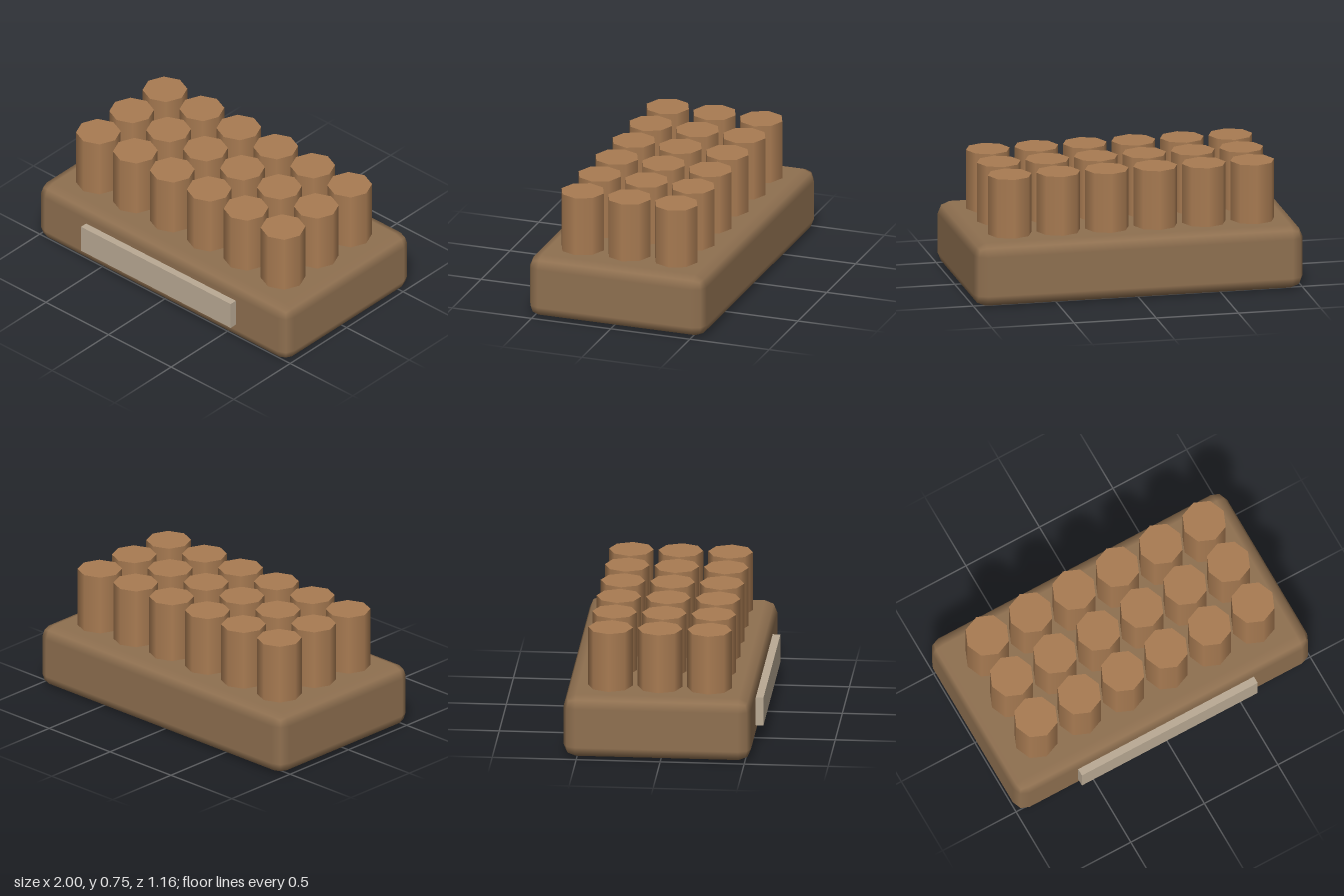
import * as THREE from 'three';
import { RoundedBoxGeometry } from 'three/addons/geometries/RoundedBoxGeometry.js';

function material(name, color) {
  const m = new THREE.MeshStandardMaterial({ color });
  m.name = name;
  return m;
}

export function createModel() {
  const model = new THREE.Group();
  model.name = 'pegBlock';
  const baseBrown = material('base brown', 0x8f7050);
  const pegBrown = material('peg brown', 0xa87b52);
  const plateBeige = material('plate beige', 0xbaaa94);

  const add = (name, geometry, mat, x, y, z, parent = model) => {
    const mesh = new THREE.Mesh(geometry, mat);
    mesh.name = name;
    mesh.position.set(x, y, z);
    parent.add(mesh);
    return mesh;
  };

  // Base block with softly bevelled edges
  const baseZ = -0.023;
  add('base', new RoundedBoxGeometry(2, 0.385, 1.116, 1, 0.073), baseBrown, 0, 0.1925, baseZ);

  // Front label plate, set slightly into the base
  add('frontPlate', new THREE.BoxGeometry(1.195, 0.173, 0.06), plateBeige, 0, 0.197, 0.551);

  // Grid of eight-sided pegs, six across and three deep
  const pegs = new THREE.Group();
  pegs.name = 'pegs';
  model.add(pegs);
  const bottom = 0.37, top = 0.746, spacing = 0.295;
  const pegGeometry = new THREE.CylinderGeometry(0.133, 0.133, top - bottom, 8);
  for (let row = 0; row < 3; row++) {
    for (let col = 0; col < 6; col++) {
      add('peg', pegGeometry, pegBrown,
        (col - 2.5) * spacing, (top + bottom) / 2, baseZ + (row - 1) * spacing, pegs);
    }
  }
  return model;
}
